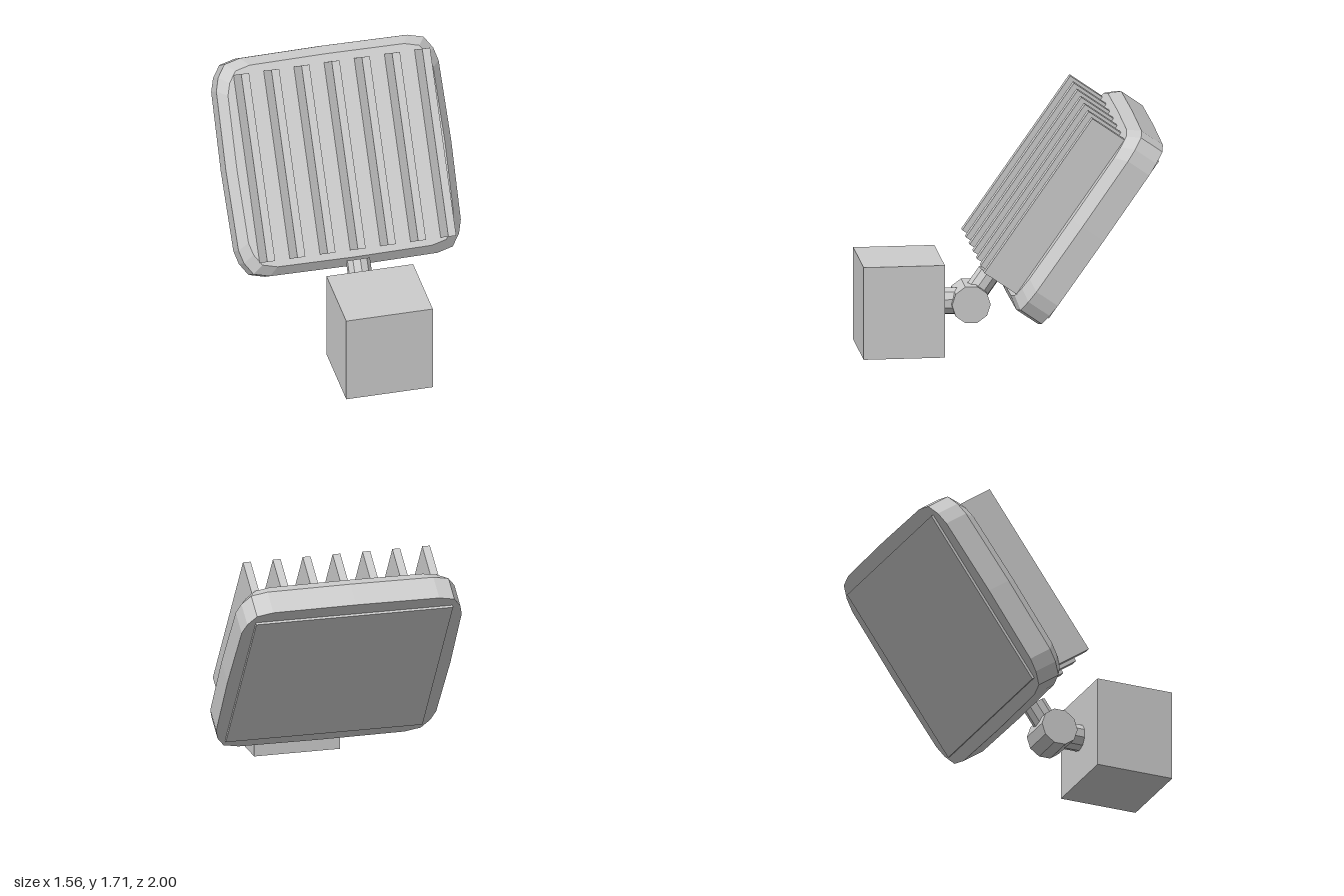
import * as THREE from 'three';
import { ConvexGeometry } from 'three/addons/geometries/ConvexGeometry.js';

const grey = new THREE.MeshStandardMaterial({ color: 0xcccccc, flatShading: true });
grey.name = 'light grey metal';

function add(parent, name, geometry, x = 0, y = 0, z = 0) {
  const mesh = new THREE.Mesh(geometry, grey);
  mesh.name = name;
  mesh.position.set(x, y, z);
  parent.add(mesh);
  return mesh;
}

// Bulging rounded rectangle with a bevelled front face
function housingGeometry() {
  const quarter = [[0.78, 0], [0.77, 0.54], [0.745, 0.63], [0.69, 0.712], [0.58, 0.74], [0, 0.746]];
  const points = [];
  for (const [z, sx, sy] of [[0, 1, 1], [0.176, 1, 1], [0.254, 0.923, 0.925]]) {
    for (const [x, y] of quarter) {
      for (const mx of x ? [1, -1] : [1]) {
        for (const my of y ? [1, -1] : [1]) {
          points.push(new THREE.Vector3(x * sx * mx, y * sy * my, z));
        }
      }
    }
  }
  return new ConvexGeometry(points);
}

export function createModel() {
  const model = new THREE.Group();
  model.name = 'floodlight';

  // Mounting box and its stem
  add(model, 'mountingBox', new THREE.BoxGeometry(0.6, 0.637, 0.55), 0, 0.3185, 0.725);
  const stem = add(model, 'boxStem', new THREE.CylinderGeometry(0.092, 0.092, 0.22, 10), 0, 0.32, 0.35);
  stem.rotation.x = Math.PI / 2;

  // Swivel joint
  const joint = add(model, 'swivelJoint', new THREE.CylinderGeometry(0.131, 0.131, 0.25, 10), 0, 0.317, 0.25);
  joint.rotation.z = Math.PI / 2;

  // Tilted lamp head: local y runs up the panel, local z towards the fins
  const head = new THREE.Group();
  head.name = 'lampHead';
  head.position.set(0, 0.89, -0.568);
  head.rotation.x = THREE.MathUtils.degToRad(-35);
  model.add(head);

  add(head, 'housing', housingGeometry());
  add(head, 'lens', new THREE.BoxGeometry(1.376, 1.3, 0.06), 0, -0.005, 0.012);
  add(head, 'headStem', new THREE.CylinderGeometry(0.082, 0.082, 0.24, 10), 0, -0.828, 0.34);

  // Cooling fins
  for (let i = -3; i <= 3; i++) {
    add(head, 'coolingFin', new THREE.BoxGeometry(0.054, 1.276, 0.289), i * 0.209, -0.004, 0.3745);
  }
  return model;
}
